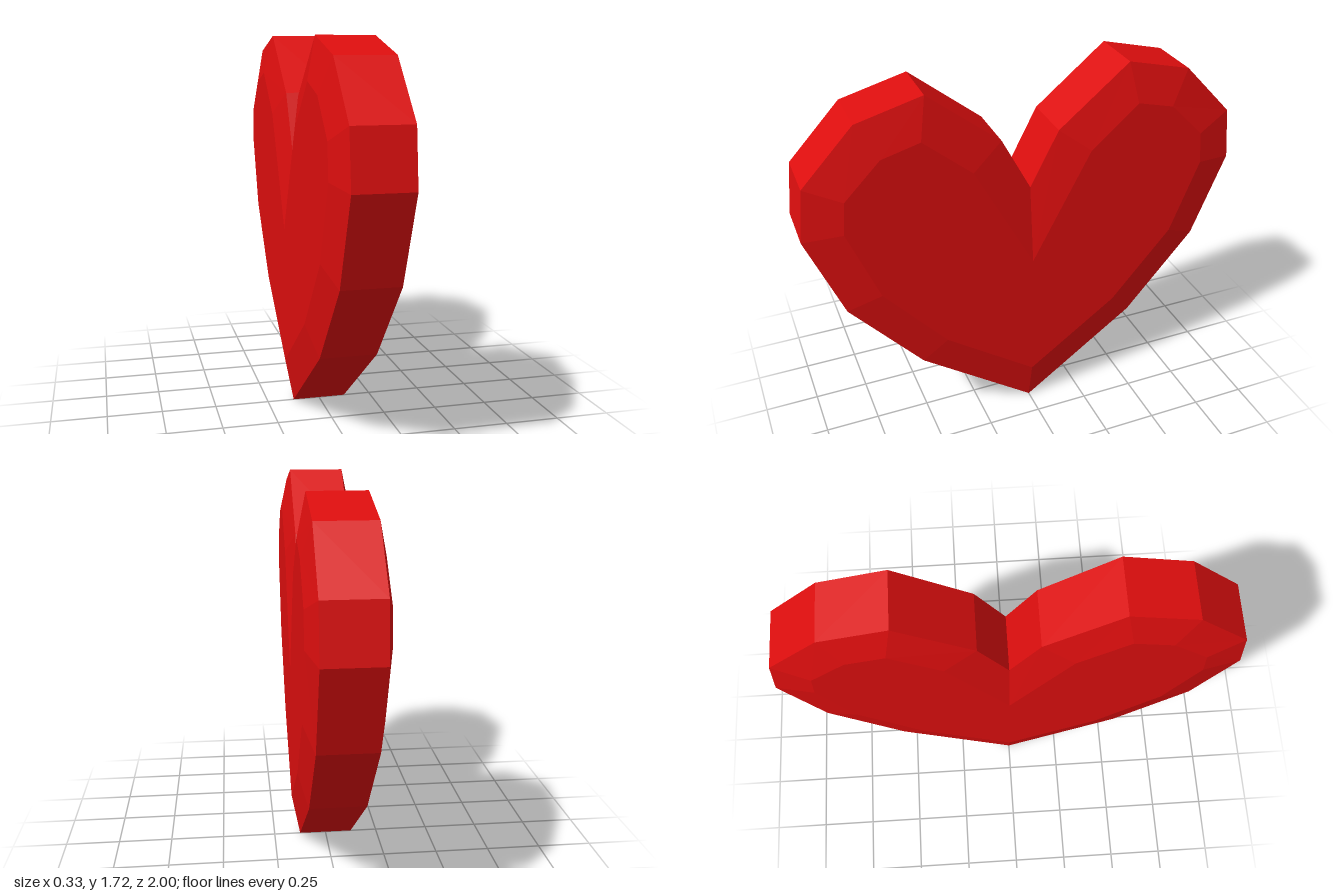
import * as THREE from 'three';

// Half outlines (distance from the centre line, height), from bottom tip to notch
const RIM = [[0, 0], [0.53, 0.39], [0.85, 0.77], [1, 1.16], [0.97, 1.4], [0.74, 1.64], [0.45, 1.715], [0.13, 1.455], [0, 1.205]];
const FACE = [[0, 0.205], [0.42, 0.51], [0.7, 0.84], [0.83, 1.18], [0.815, 1.33], [0.655, 1.49], [0.485, 1.535], [0.27, 1.35], [0, 0.84]];
const RIM_X = 0.125, FACE_X = 0.165;

// Full closed outline, counter-clockwise when seen from +x
function mirrorOutline(half) {
  const other = half.slice(1, -1).reverse().map(([u, y]) => [-u, y]);
  return [...half, ...other].map(([u, y]) => new THREE.Vector2(u, y));
}

function heartGeometry() {
  const rim = mirrorOutline(RIM), face = mirrorOutline(FACE);
  const ring = (outline, x) => outline.map((p) => new THREE.Vector3(x, p.y, -p.x));
  const rings = [ring(face, -FACE_X), ring(rim, -RIM_X), ring(rim, RIM_X), ring(face, FACE_X)];
  const points = [];

  // Bevel, rim, bevel
  for (let k = 0; k < 3; k++) {
    const a = rings[k], b = rings[k + 1];
    for (let i = 0; i < a.length; i++) {
      const j = (i + 1) % a.length;
      points.push(a[i], a[j], b[j], a[i], b[j], b[i]);
    }
  }
  // Flat faces on both sides
  for (const [a, b, c] of THREE.ShapeUtils.triangulateShape(face, [])) {
    points.push(rings[3][a], rings[3][b], rings[3][c]);
    points.push(rings[0][a], rings[0][c], rings[0][b]);
  }
  const geometry = new THREE.BufferGeometry().setFromPoints(points);
  geometry.computeVertexNormals();
  return geometry;
}

export function createModel() {
  const red = new THREE.MeshStandardMaterial({ color: 0xdd0e0e });
  red.name = 'heart red';
  red.flatShading = true;

  const heart = new THREE.Mesh(heartGeometry(), red);
  heart.name = 'heart';

  const model = new THREE.Group();
  model.name = 'bevelledHeart';
  model.add(heart);
  return model;
}
